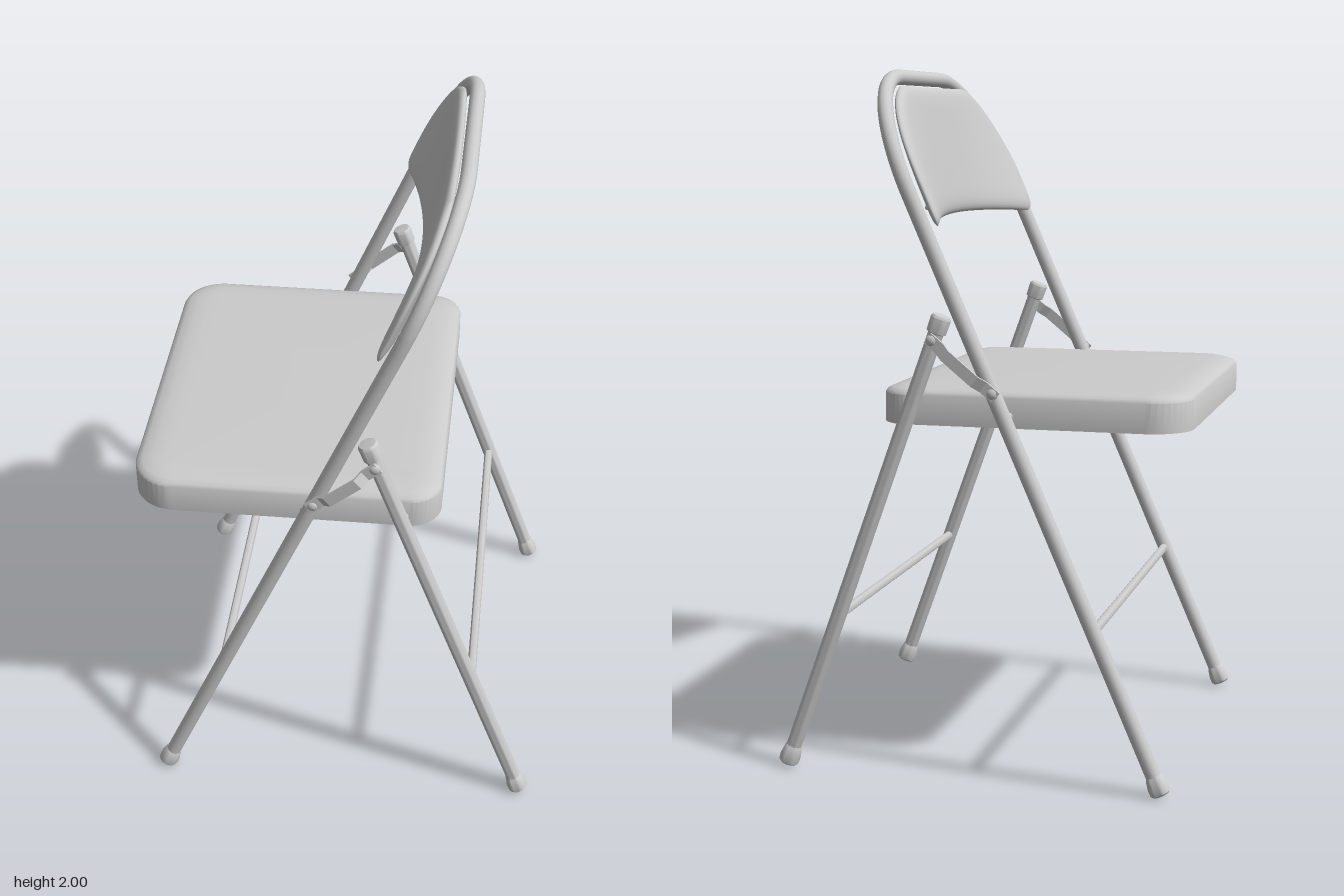
import * as THREE from 'three';
import { toCreasedNormals, mergeGeometries, mergeVertices } from 'three/addons/utils/BufferGeometryUtils.js';

const mat = new THREE.MeshStandardMaterial({ color: 0xcccccc });
const V = (x, y, z) => new THREE.Vector3(x, y, z);
const SIDE = 0.552, R = 0.022;

// Tilted plane of the main frame: z across, v along the slope, w behind it
const tilt = (z, v, w = 0) => V(-0.54 + 0.399 * v + 0.917 * w, 0.917 * v - 0.399 * w, z);
// Point on a rear leg at height y
const rear = (y, z) => V(0.567 - 0.3615 * y, y, z);

function add(group, name, geometry) {
  const mesh = new THREE.Mesh(geometry, mat);
  mesh.name = name;
  group.add(mesh);
  return mesh;
}

// Turned part standing on a, pointing towards b; profile is [radius, height]
function turned(group, name, a, b, profile) {
  const pts = profile.map(([r, h]) => new THREE.Vector2(r, h));
  const mesh = add(group, name, toCreasedNormals(new THREE.LatheGeometry(pts, 20), 0.7));
  mesh.position.copy(a);
  mesh.quaternion.setFromUnitVectors(V(0, 1, 0), b.clone().sub(a).normalize());
}

function rod(group, name, a, b, r) {
  const h = a.distanceTo(b);
  turned(group, name, a, b, [[0, 0], [r, 0], [r, h], [0, h]]);
}

// One tube bent into both front legs and the back hoop
function frameGeometry() {
  const path = new THREE.Path();
  path.moveTo(SIDE, 0.03);
  path.lineTo(SIDE, 1.805);
  path.absarc(0.2, 1.805, 0.352, 0, Math.PI / 2, false);
  path.lineTo(-0.2, 2.157);
  path.absarc(-0.2, 1.805, 0.352, Math.PI / 2, Math.PI, false);
  path.lineTo(-SIDE, 0.03);
  const pts = path.getSpacedPoints(140).map(p => tilt(p.x, p.y));
  return new THREE.TubeGeometry(new THREE.CatmullRomCurve3(pts), 200, R, 16);
}

// Seat pan lofted from rounded rectangles [inset, height]
function seatGeometry() {
  const rings = [[0.4, 1.022], [0.012, 1.022], [0.012, 1.01], [0, 1.012], [0, 1.095],
    [0.006, 1.104], [0.02, 1.111], [0.05, 1.118], [0.09, 1.12], [0.4, 1.12]];
  const corners = [[0.29, 0.517, 0.09], [-0.59, 0.517, 0.12], [-0.59, -0.517, 0.12], [0.29, -0.517, 0.09]];
  const pos = [], index = [], steps = 10, n = 4 * (steps + 1);
  const ring = (inset, y) => corners.forEach(([cx, cz, r], q) => {
    const rr = Math.max(r - inset, 0.01), k = inset + rr;
    for (let i = 0; i <= steps; i++) {
      const a = (q + i / steps) * Math.PI / 2;
      pos.push(cx - Math.sign(cx) * k + rr * Math.cos(a), y, cz - Math.sign(cz) * k + rr * Math.sin(a));
    }
  });
  rings.forEach(([inset, y]) => ring(inset, y));
  for (let j = 0; j < rings.length - 1; j++) for (let i = 0; i < n; i++) {
    const a = j * n + i, c = j * n + (i + 1) % n;
    index.push(a, a + n, c, a + n, c + n, c);
  }
  // Close the middle of the underside and the top
  const last = (rings.length - 1) * n;
  for (let i = 1; i < n - 1; i++) index.push(0, i, i + 1, last, last + i + 1, last + i);
  const g = new THREE.BufferGeometry();
  g.setAttribute('position', new THREE.Float32BufferAttribute(pos, 3));
  g.setIndex(index);
  return toCreasedNormals(g, 0.6);
}

// Padded backrest: curved across its width, more strongly at the bottom
const bow = (z, t) => -0.033 + (1 - (z / 0.53) ** 2) * THREE.MathUtils.lerp(0.08, 0.015, t);
function backrestPoint(s, t, face) {
  const v0 = 1.69 + 0.428 * t;
  let half = 0.53;
  if (v0 > 1.805) half = 0.2 + Math.sqrt(Math.max(0, 0.33 ** 2 - (v0 - 1.805) ** 2));
  const low = Math.max(0, 0.04 - (v0 - 1.69));
  half -= 0.04 - Math.sqrt(0.04 ** 2 - low ** 2);
  const z = s * half;
  const v = v0 + 0.055 * (1 - (z / 0.53) ** 2) * (1 - t);
  const edge = Math.sqrt((1 - Math.abs(s) ** 14) * (1 - Math.abs(2 * t - 1) ** 10));
  return tilt(z, v, bow(z, t) + face * edge * (face < 0 ? 0.022 : 0.012));
}
function backrestGeometry() {
  const sides = [-1, 1].map(face => {
    const g = new THREE.PlaneGeometry(2, 2, 48, 28);
    g.deleteAttribute('uv');
    g.deleteAttribute('normal');
    const p = g.attributes.position;
    for (let i = 0; i < p.count; i++) {
      const s = Math.sin(p.getX(i) * Math.PI / 2), t = (1 + Math.sin(p.getY(i) * Math.PI / 2)) / 2;
      const q = backrestPoint(face < 0 ? s : -s, t, face);
      p.setXYZ(i, q.x, q.y, q.z);
    }
    return g;
  });
  const g = mergeVertices(mergeGeometries(sides), 1e-5);
  g.computeVertexNormals();
  return g;
}

// Flat strap that bows outward between its two rivets
function linkGeometry(side) {
  const line = [[-0.015, 0], [0.03, 0], [0.055, 0.02], [0.165, 0.02], [0.19, 0], [0.235, 0]];
  const outer = line.map(([d, o]) => new THREE.Vector2(d, o + 0.006));
  const inner = line.map(([d, o]) => new THREE.Vector2(d, o - 0.003)).reverse();
  const g = new THREE.ExtrudeGeometry(new THREE.Shape([...outer, ...inner]), { depth: 0.034, bevelEnabled: false });
  g.translate(0, 0, -0.017);
  g.rotateX(side * Math.PI / 2);
  return g;
}

export function createModel() {
  const chair = new THREE.Group();
  chair.name = 'foldingChair';
  add(chair, 'frontFrame', frameGeometry());
  add(chair, 'seat', seatGeometry());
  add(chair, 'backrest', backrestGeometry());

  const foot = [[0, 0], [0.024, 0], [0.029, 0.005], [0.03, 0.022], [0.025, 0.05], [0.022, 0.056]];
  const cap = [[0.022, 0], [0.028, 0.003], [0.029, 0.045], [0.024, 0.052], [0, 0.054]];

  for (const s of [-1, 1]) {
    const z = s * SIDE;
    // Rear leg with its foot and top cap
    rod(chair, 'rearLeg', rear(0.03, z), rear(1.31, z), R);
    turned(chair, 'rearFoot', rear(0.011, z), rear(1, z), foot);
    turned(chair, 'rearLegCap', rear(1.275, z), rear(1.4, z), cap);
    turned(chair, 'frontFoot', tilt(z, 0.012), tilt(z, 1), foot);

    // Folding link and its rivets
    const a = V(-0.06, 1.115, s * 0.578), b = V(0.112, 1.257, s * 0.578);
    const link = add(chair, 'foldingLink', linkGeometry(s));
    link.position.copy(a);
    link.rotation.z = Math.atan2(b.y - a.y, b.x - a.x);
    for (const p of [a, b]) {
      const rivet = add(chair, 'linkRivet', new THREE.SphereGeometry(0.017, 16, 10));
      rivet.position.copy(p);
      rivet.scale.z = 0.7;
    }

    // Seat pivots on the front and rear legs
    for (const x of [-0.09, 0.19])
      rod(chair, 'seatPivot', V(x, 1.045, s * 0.5), V(x, 1.045, z), 0.013);

    // Small fasteners on the back of the backrest
    for (const [fs, ft] of [[0.72, 0.72], [0.84, 0.13]]) {
      const screw = add(chair, 'backrestScrew', new THREE.SphereGeometry(0.007, 10, 8));
      screw.position.copy(backrestPoint(s * fs, ft, 1));
    }
  }

  // Cross braces between the legs
  rod(chair, 'frontBrace', tilt(-SIDE, 0.5), tilt(SIDE, 0.5), 0.013);
  rod(chair, 'rearBrace', rear(0.46, -SIDE), rear(0.46, SIDE), 0.013);
  return chair;
}
